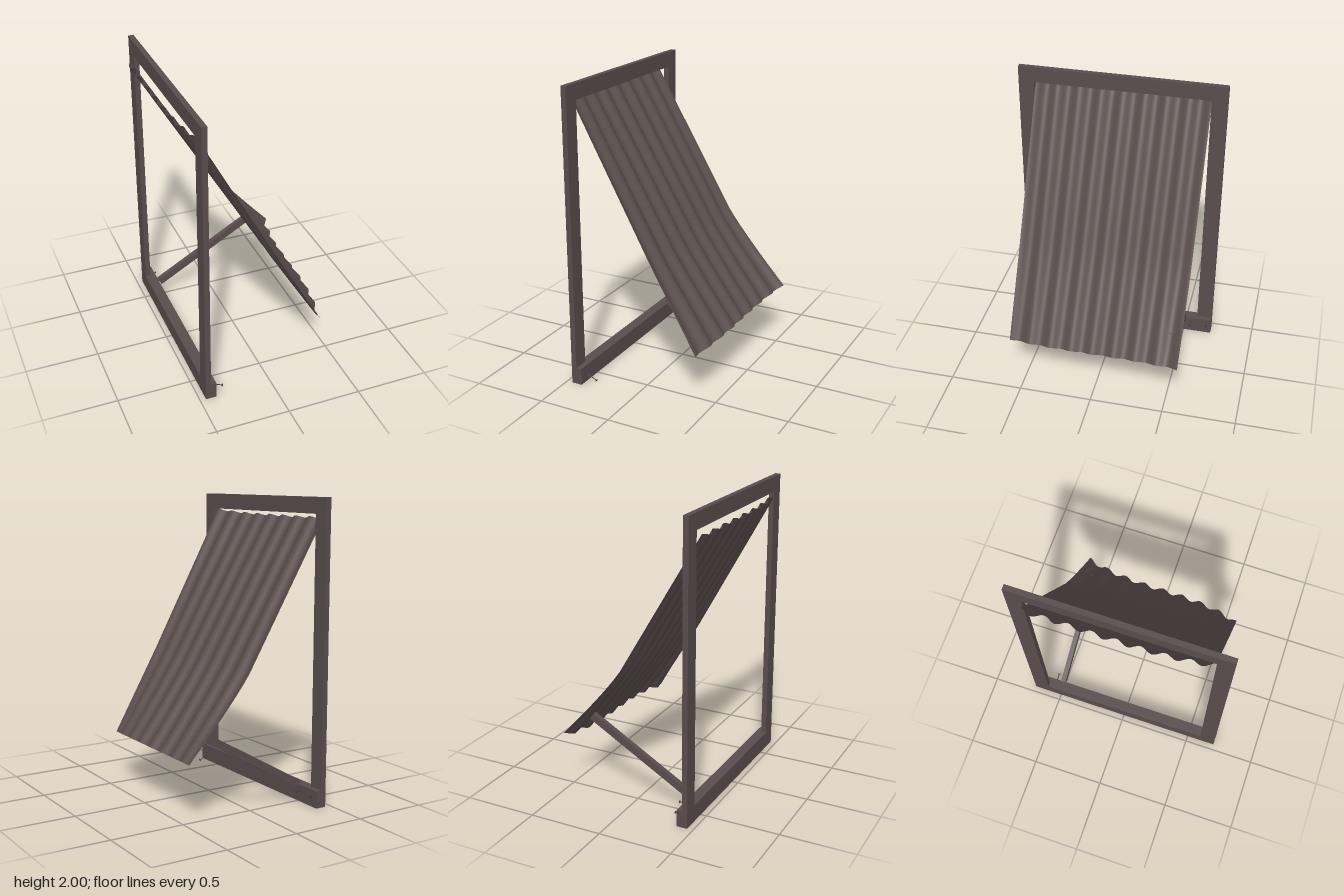
import * as THREE from 'three';

export function createModel() {
  const model = new THREE.Group();
  model.name = 'shutterWindow';
  const wood = new THREE.MeshStandardMaterial({ color: 0x584d4c });
  wood.name = 'weathered brown';
  const sheetMat = new THREE.MeshStandardMaterial({ color: 0x584d4b, side: THREE.DoubleSide });
  sheetMat.name = 'rusted sheet brown';
  const iron = new THREE.MeshStandardMaterial({ color: 0x463c3c });
  iron.name = 'dark iron';

  // Box given by its extents on each axis
  const box = (name, x0, x1, y0, y1, z0, z1) => {
    const m = new THREE.Mesh(new THREE.BoxGeometry(x1 - x0, y1 - y0, z1 - z0), wood);
    m.position.set((x0 + x1) / 2, (y0 + y1) / 2, (z0 + z1) / 2);
    m.name = name;
    model.add(m);
  };

  // Upright frame with a deeper sill
  const back = -0.46, front = -0.424;
  box('sill', back, -0.387, 0, 0.115, -0.7, 0.7);
  box('topRail', back, front, 1.895, 2, -0.7, 0.7);
  box('leftPost', back, front, 0.115, 1.895, 0.593, 0.7);
  box('rightPost', back, front, 0.115, 1.895, -0.7, -0.593);

  // Corrugated sheet: ripples across, warped at the lower end and one upper corner
  const down = new THREE.Vector3(0.49, -0.872, 0);
  const out = new THREE.Vector3(0.872, 0.49, 0);
  const waist = new THREE.Vector3(0.058, 0.915, 0);
  const upper = 1.105, lower = 0.667, half = 0.59;
  const geo = new THREE.PlaneGeometry(2 * half, upper + lower, 128, 24);
  const pos = geo.attributes.position;
  const v = new THREE.Vector3();
  for (let i = 0; i < pos.count; i++) {
    const z = -pos.getX(i);
    const s = (lower - upper) / 2 - pos.getY(i);
    const u = z / half;
    let n = 0.014 * Math.cos(u * Math.PI * 8);
    if (s > 0) n += Math.pow(s / lower, 1.25) * (0.07 - 0.063 * u ** 3 - 0.004 * u * u);
    else n += (-s / upper) * (-0.023 + 0.04 * Math.max(0, u) ** 2.5);
    v.copy(waist).addScaledVector(down, s).addScaledVector(out, n);
    pos.setXYZ(i, v.x, v.y, z);
  }
  geo.computeVertexNormals();
  const sheet = new THREE.Mesh(geo, sheetMat);
  sheet.name = 'corrugatedSheet';
  model.add(sheet);

  // Prop that holds the sheet open
  const a = new THREE.Vector2(-0.385, 0.12), b = new THREE.Vector2(0.335, 0.533);
  const prop = new THREE.Mesh(new THREE.BoxGeometry(a.distanceTo(b), 0.05, 0.034), wood);
  prop.position.set((a.x + b.x) / 2, (a.y + b.y) / 2, -0.496);
  prop.rotation.z = Math.atan2(b.y - a.y, b.x - a.x);
  prop.name = 'prop';
  model.add(prop);

  // Bent nails sticking out of the sill: start y, tip x, tip y, z
  const nails = [[0.052, -0.318, 0.014, 0.625], [0.08, -0.335, 0.088, -0.553], [0.072, -0.363, 0.076, -0.667]];
  for (const [y0, x1, y1, z] of nails) {
    const p = new THREE.Vector3(-0.4, y0, z), q = new THREE.Vector3(x1, y1, z);
    const len = p.distanceTo(q);
    const nail = new THREE.Group();
    nail.name = 'nail';
    const shank = new THREE.Mesh(new THREE.CylinderGeometry(0.003, 0.003, len, 8), iron);
    shank.position.y = len / 2;
    shank.name = 'nailShank';
    const head = new THREE.Mesh(new THREE.CylinderGeometry(0.009, 0.009, 0.004, 10), iron);
    head.position.y = len;
    head.name = 'nailHead';
    nail.add(shank, head);
    nail.position.copy(p);
    nail.quaternion.setFromUnitVectors(new THREE.Vector3(0, 1, 0), q.sub(p).normalize());
    model.add(nail);
  }
  return model;
}
